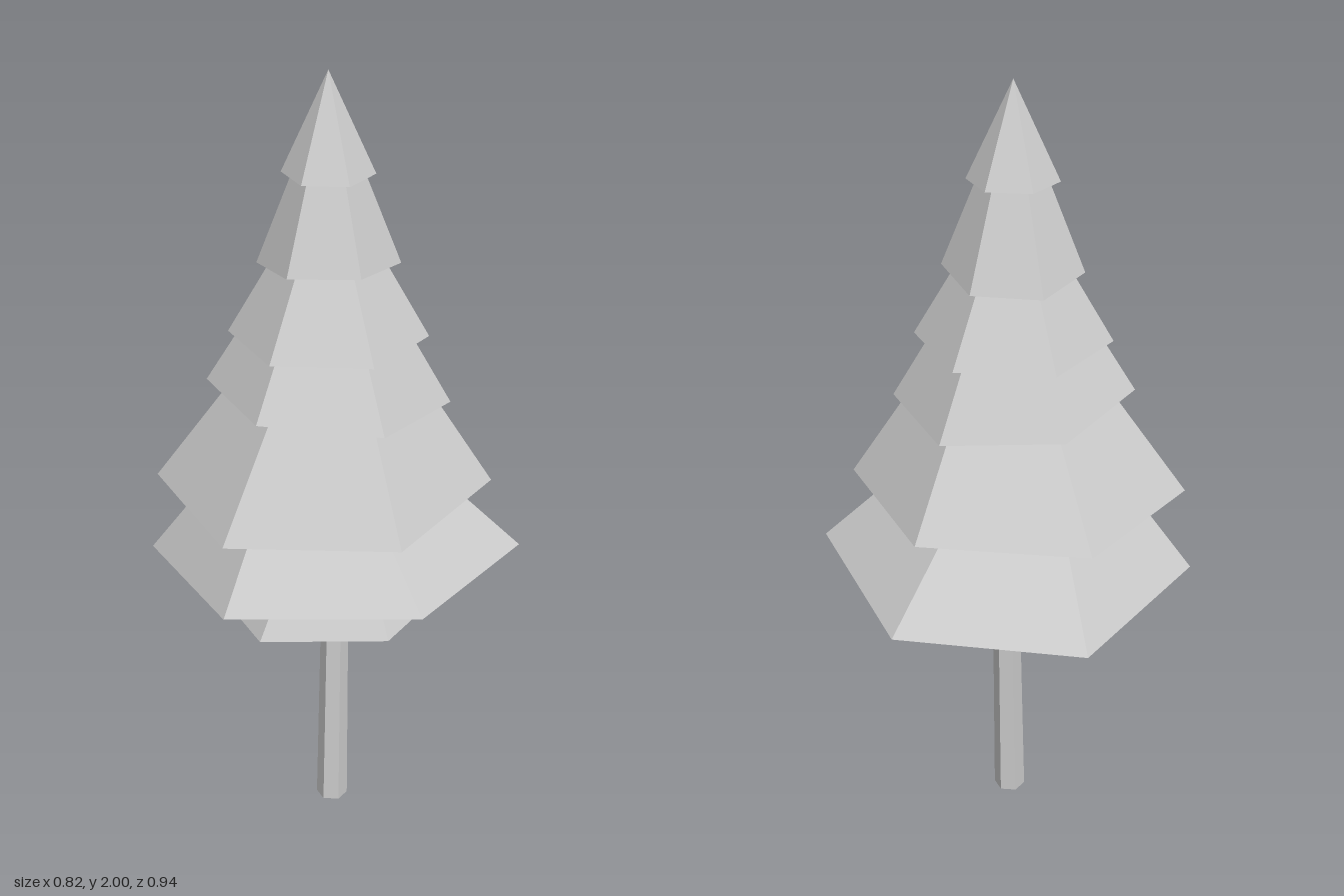
import * as THREE from 'three';

const SIDES = 6;
const RECESS = 0.045; // how far each underside rises to its centre

// Tiers from bottom to top: rim height, rim radius, rim centre x/z,
// tilt of the rim along x/z, then top height, radius and centre x/z.
const TIERS = [
  { y: 0.65, r: 0.317, cx: -0.01, cz: -0.002, tx: 0.027, tz: -0.056, topY: 0.81, topR: 0.205, topX: 0, topZ: 0 },
  { y: 0.765, r: 0.471, cx: 0, cz: 0, tx: 0.067, tz: 0.03, topY: 1.01, topR: 0.25, topX: -0.018, topZ: 0.025 },
  { y: 0.967, r: 0.42, cx: -0.017, cz: 0.025, tx: 0, tz: -0.03, topY: 1.25, topR: 0.225, topX: 0, topZ: 0.027 },
  { y: 1.21, r: 0.299, cx: 0, cz: 0.027, tx: -0.045, tz: 0.066, topY: 1.41, topR: 0.18, topX: 0, topZ: 0.027 },
  { y: 1.36, r: 0.243, cx: 0, cz: 0.027, tx: 0, tz: 0, topY: 1.59, topR: 0.11, topX: 0, topZ: 0.025 },
  { y: 1.54, r: 0.172, cx: 0, cz: 0.025, tx: 0.06, tz: 0.06, topY: 1.81, topR: 0.066, topX: 0, topZ: 0.025 },
  { y: 1.76, r: 0.111, cx: 0, cz: 0.025, tx: -0.02, tz: -0.03, topY: 2, topR: 0, topX: 0, topZ: 0.025 },
];

// Six-sided skirt with a slightly hollow underside, tilted and leaning
function tierGeometry(t) {
  const profile = [
    new THREE.Vector2(0, t.y + RECESS),
    new THREE.Vector2(t.r, t.y),
    new THREE.Vector2(t.topR, t.topY),
  ];
  if (t.topR > 0) profile.push(new THREE.Vector2(0, t.topY));
  const geo = new THREE.LatheGeometry(profile, SIDES);
  const p = geo.attributes.position;
  for (let i = 0; i < p.count; i++) {
    const x = p.getX(i), y = p.getY(i), z = p.getZ(i);
    const k = (y - t.y) / (t.topY - t.y);
    p.setXYZ(
      i,
      x + THREE.MathUtils.lerp(t.cx, t.topX, k),
      y + x * t.tx + z * t.tz,
      z + THREE.MathUtils.lerp(t.cz, t.topZ, k),
    );
  }
  geo.computeVertexNormals();
  return geo;
}

export function createModel() {
  const tree = new THREE.Group();
  tree.name = 'pineTree';
  const material = new THREE.MeshStandardMaterial({ color: 0xcccccc, flatShading: true });

  // Thin trunk, leaning back a little towards the top
  const height = 0.74;
  const trunkGeo = new THREE.CylinderGeometry(0.034, 0.041, height, SIDES);
  trunkGeo.translate(0, height / 2, 0);
  const p = trunkGeo.attributes.position;
  for (let i = 0; i < p.count; i++) {
    p.setZ(i, p.getZ(i) + 0.013 - 0.018 * (p.getY(i) / height));
  }
  const trunk = new THREE.Mesh(trunkGeo, material);
  trunk.name = 'trunk';
  tree.add(trunk);

  // Stacked foliage
  const foliage = new THREE.Group();
  foliage.name = 'foliage';
  TIERS.forEach((t, i) => {
    const mesh = new THREE.Mesh(tierGeometry(t), material);
    mesh.name = `foliageTier${i + 1}`;
    foliage.add(mesh);
  });
  tree.add(foliage);
  return tree;
}
